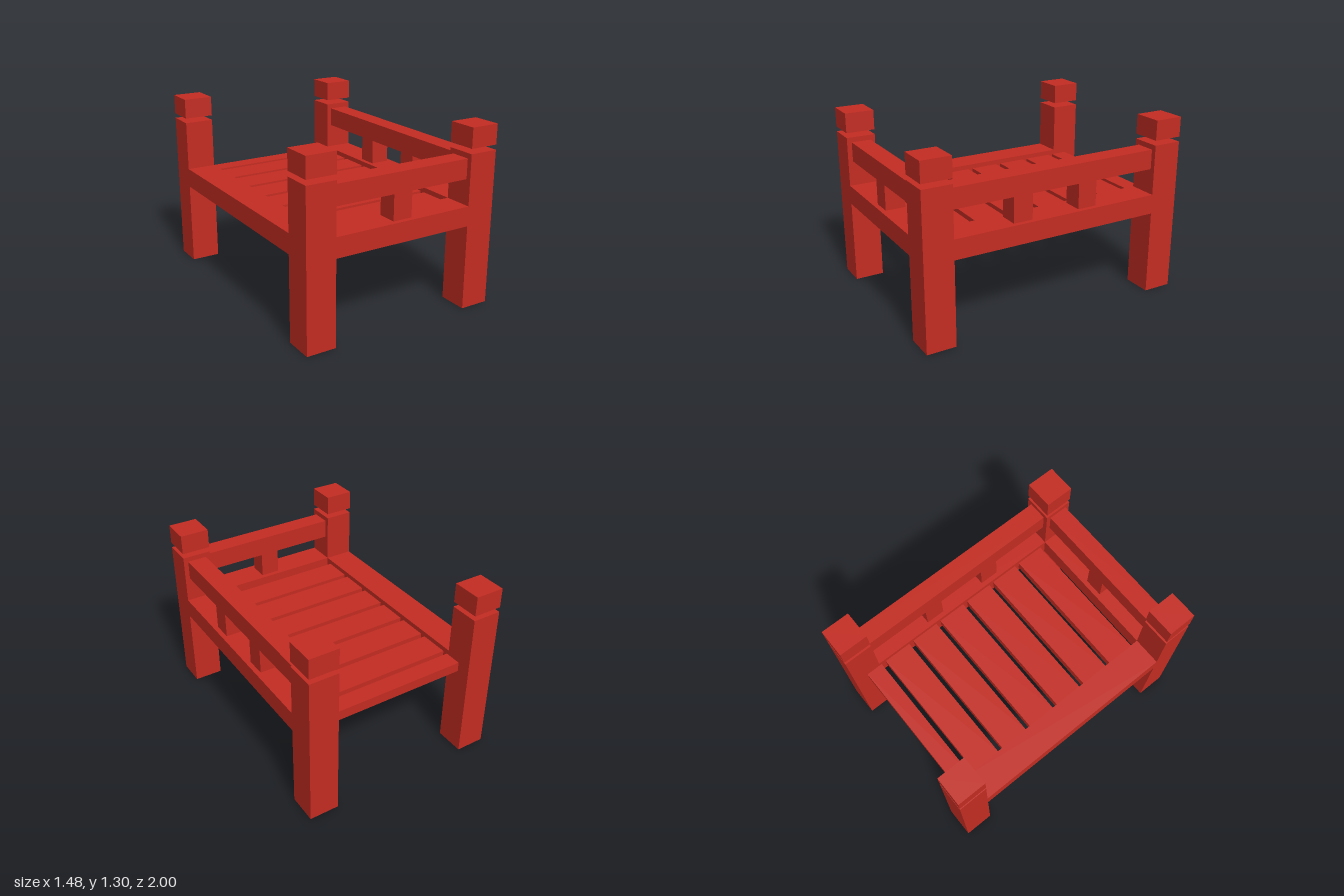
import * as THREE from 'three';

export function createModel() {
  const bed = new THREE.Group();
  bed.name = 'bedFrame';
  const red = new THREE.MeshStandardMaterial({ color: 0xc42c22 });
  red.name = 'redPaint';

  // Box given by its minimum and maximum on each axis
  const beam = (name, [x0, x1], [y0, y1], [z0, z1]) => {
    const mesh = new THREE.Mesh(new THREE.BoxGeometry(x1 - x0, y1 - y0, z1 - z0), red);
    mesh.position.set((x0 + x1) / 2, (y0 + y1) / 2, (z0 + z1) / 2);
    mesh.name = name;
    bed.add(mesh);
  };
  const around = (c, width) => [c - width / 2, c + width / 2];

  const POST = 0.213, RAIL = 0.143;
  const postX = 0.631, postZ = 0.893;
  const innerX = [-0.525, 0.525], innerZ = [-0.787, 0.787];
  const lowerY = [0.615, 0.757], strutY = [0.757, 0.94], upperY = [0.94, 1.083];

  // Corner posts with separate caps
  for (const sx of [-1, 1]) {
    for (const sz of [-1, 1]) {
      const x = around(sx * postX, POST), z = around(sz * postZ, POST);
      beam('post', x, [0, 1.12], z);
      beam('postCap', x, [1.156, 1.3], z);
    }
    beam('sideLowerRail', around(sx * postX, POST), lowerY, innerZ);
  }

  // Front end: lower rail, upper rail and one strut
  beam('frontLowerRail', innerX, lowerY, around(postZ, POST));
  beam('frontUpperRail', innerX, upperY, around(postZ, RAIL));
  beam('frontStrut', around(0, RAIL), strutY, around(postZ, RAIL));

  // Guard rail on the +x side with two struts
  beam('sideUpperRail', around(postX, RAIL), upperY, innerZ);
  for (const z of [0.265, -0.243]) beam('sideStrut', around(postX, RAIL), strutY, around(z, RAIL));

  // Slats, with a narrow one at the back
  const slatY = [0.651, 0.722];
  for (let i = 0; i < 6; i++) beam('slat', innerX, slatY, around(-0.626 + i * 0.252, 0.214));
  beam('backSlat', innerX, slatY, [-0.897, -0.77]);

  return bed;
}
